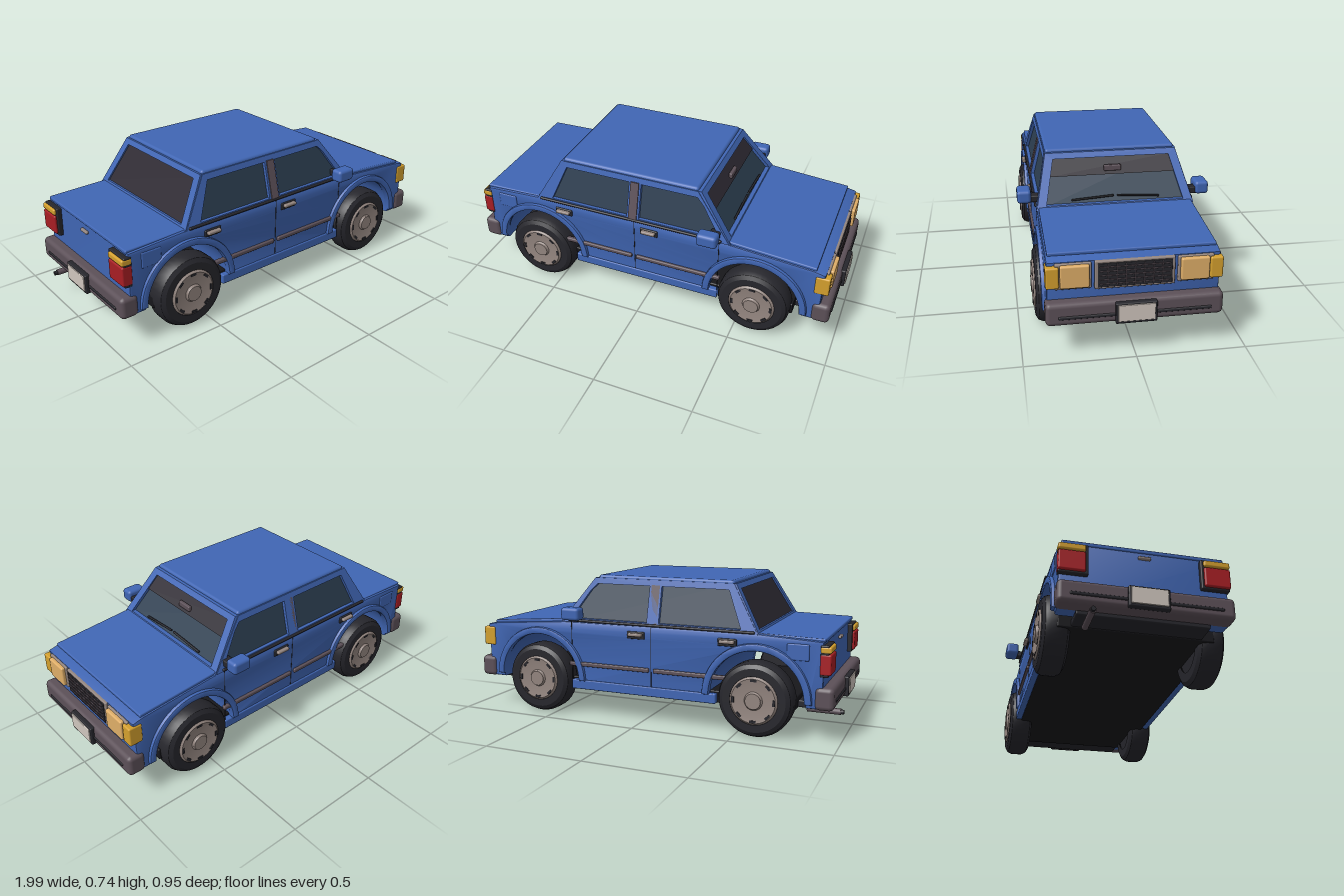
import * as THREE from 'three';
import { toCreasedNormals } from 'three/addons/utils/BufferGeometryUtils.js';
import { RoundedBoxGeometry } from 'three/addons/geometries/RoundedBoxGeometry.js';

const mat = (color) => new THREE.MeshStandardMaterial({ color, side: THREE.DoubleSide });
const M = {
  paint: mat(0x4066b4), glass: mat(0x2c3e50), tint: mat(0x2e2a33), rubber: mat(0x26262c),
  trim: mat(0x5c5058), metal: mat(0x93857f), lens: mat(0xdfae68), amber: mat(0xd4a02e),
  red: mat(0xa81e24), plate: mat(0xd0c6be), floor: mat(0x17171b),
};

export function createModel() {
  const car = new THREE.Group();
  car.name = 'car';

  const add = (name, geo, m, parent = car) => {
    const mesh = new THREE.Mesh(geo, m);
    mesh.name = name;
    parent.add(mesh);
    return mesh;
  };
  // rounded block given by its limits on each axis
  const block = (name, [x0, x1], [y0, y1], [z0, z1], m, r = 0.006) => {
    const s = [x1 - x0, y1 - y0, z1 - z0];
    const mesh = add(name, new RoundedBoxGeometry(...s, 2, Math.min(r, Math.min(...s) * 0.45)), m);
    mesh.position.set((x0 + x1) / 2, (y0 + y1) / 2, (z0 + z1) / 2);
    return mesh;
  };
  // block repeated on both sides of the car
  const pair = (name, x, y, [z0, z1], m, r) => {
    block(name + 'Left', x, y, [-z1, -z0], m, r);
    block(name + 'Right', x, y, [z0, z1], m, r);
  };
  const poly = (pts) => pts.map((p) => new THREE.Vector2(...p));
  const extrude = (shape, depth, bevel = 0) => toCreasedNormals(new THREE.ExtrudeGeometry(shape, {
    depth: depth - 2 * bevel, bevelEnabled: bevel > 0, bevelSize: bevel, bevelThickness: bevel,
    bevelOffset: -bevel, bevelSegments: 2, curveSegments: 28,
  }).translate(0, 0, bevel), 0.6);
  const moveVerts = (geo, rule) => {
    const p = geo.attributes.position, v = new THREE.Vector3();
    for (let i = 0; i < p.count; i++) {
      rule(v.fromBufferAttribute(p, i));
      p.setXYZ(i, v.x, v.y, v.z);
    }
    geo.computeVertexNormals();
    return geo;
  };

  // lower body with open wheel arches
  const axles = [-0.6, 0.59], hubY = 0.185, archR = 0.237;
  const body = new THREE.Shape();
  body.moveTo(-0.92, 0.165);
  for (const x of axles) {
    body.lineTo(x - archR, 0.165);
    body.absarc(x, hubY, archR, Math.PI, 0, true);
    body.lineTo(x + archR, 0.165);
  }
  for (const p of [[0.915, 0.165], [0.925, 0.45], [0.87, 0.462], [0.44, 0.495], [-0.6, 0.5], [-0.915, 0.485]]) body.lineTo(...p);
  add('body', extrude(body, 0.77, 0.012), M.paint).position.z = -0.385;
  block('floor', [-0.785, 0.785], [0.14, 0.2], [-0.36, 0.36], M.floor);
  pair('sill', [-0.4, 0.4], [0.14, 0.19], [0.36, 0.392], M.paint);
  const hood = block('hood', [0.43, 0.88], [0.474, 0.492], [-0.376, 0.376], M.paint);
  hood.rotation.z = -0.075;
  const trunk = block('trunkLid', [-0.92, -0.59], [0.48, 0.5], [-0.372, 0.372], M.paint);
  trunk.rotation.z = 0.02;

  // arch flares
  for (const x of axles) for (const s of [-1, 1]) {
    const ring = new THREE.Shape();
    ring.absarc(x, hubY, 0.27, 0, Math.PI, false);
    ring.absarc(x, hubY, archR - 0.003, Math.PI, 0, true);
    add('archFlare', extrude(ring, 0.04, 0.008), M.paint).position.z = s > 0 ? 0.362 : -0.402;
  }

  // cabin glass: a box tapered towards the roof
  const glass = new THREE.BoxGeometry(1, 1, 1).toNonIndexed();
  add('cabinGlass', moveVerts(glass, (v) => {
    const top = v.y > 0;
    v.x = v.x > 0 ? (top ? 0.265 : 0.435) : (top ? -0.46 : -0.59);
    v.z = Math.sign(v.z) * (top ? 0.313 : 0.371);
    v.y = top ? 0.72 : 0.49;
  }), M.glass);

  // side window frames, leaning inwards
  const sideFrame = new THREE.Shape(poly([[-0.605, 0.495], [0.45, 0.495], [0.265, 0.725], [-0.468, 0.725]]));
  const windows = [
    [[-0.52, 0.515], [-0.445, 0.695], [-0.095, 0.695], [-0.095, 0.515]],
    [[-0.03, 0.515], [-0.03, 0.695], [0.265, 0.695], [0.3, 0.66], [0.4, 0.515]],
  ];
  for (const w of windows) sideFrame.holes.push(new THREE.Path(poly(w)));
  for (const s of [-1, 1]) {
    const lean = (v) => { v.z += s * (0.375 - (v.y - 0.5) * 0.25) - 0.011; };
    add('sideWindowFrame', moveVerts(extrude(sideFrame, 0.022), lean), M.paint);
    const post = new THREE.Shape(poly([[-0.085, 0.51], [-0.04, 0.51], [-0.04, 0.7], [-0.085, 0.7]]));
    add('centrePost', moveVerts(extrude(post, 0.028), lean), M.trim);
  }

  // end panels in the slope of the windscreen (+1) or the rear window (-1)
  const endPanel = (name, shape, depth, dir, offset, m) => {
    const geo = extrude(shape, depth).rotateY(dir * Math.PI / 2);
    add(name, moveVerts(geo, (v) => {
      v.x += dir > 0 ? 0.437 - (v.y - 0.5) * 0.76 + offset : -0.592 + (v.y - 0.5) * 0.58 - offset;
    }), m);
  };
  const trapezoid = (zb, yb, zt, yt) => poly([[-zb, yb], [zb, yb], [zt, yt], [-zt, yt]]);
  for (const dir of [-1, 1]) {
    const frame = new THREE.Shape(trapezoid(0.385, 0.495, 0.327, 0.725));
    frame.holes.push(new THREE.Path(trapezoid(0.337, 0.512, 0.29, 0.7)));
    endPanel(dir > 0 ? 'windscreenFrame' : 'rearWindowFrame', frame, 0.022, dir, -0.006, M.paint);
    const tint = dir > 0 ? trapezoid(0.31, 0.625, 0.29, 0.7) : trapezoid(0.337, 0.512, 0.29, 0.7);
    endPanel('windowTint', new THREE.Shape(tint), 0.006, dir, 0, M.tint);
  }
  block('roof', [-0.468, 0.265], [0.703, 0.74], [-0.325, 0.325], M.paint, 0.014);
  block('cabinMirror', [0.325, 0.345], [0.64, 0.67], [-0.043, 0.043], M.trim);

  // wipers
  for (const z of [0.11, -0.115]) {
    const wiper = block('wiper', [0.416, 0.428], [0.53, 0.539], [z - 0.105, z + 0.105], M.rubber);
    wiper.rotation.x = z > 0 ? 0.07 : -0.07;
  }

  // side details
  pair('beltStrip', [-0.59, 0.41], [0.497, 0.51], [0.37, 0.394], M.rubber);
  pair('rearDoorTrim', [-0.46, -0.07], [0.264, 0.286], [0.375, 0.398], M.trim);
  pair('frontDoorTrim', [-0.045, 0.41], [0.264, 0.286], [0.375, 0.398], M.trim);
  for (const x of [-0.055, 0.398]) pair('doorSeam', [x - 0.002, x + 0.002], [0.19, 0.5], [0.38, 0.3865], M.rubber);
  for (const x of [-0.455, 0.027]) {
    pair('handleRecess', [x - 0.048, x + 0.048], [0.43, 0.468], [0.378, 0.392], M.rubber);
    pair('doorHandle', [x - 0.038, x + 0.038], [0.445, 0.462], [0.385, 0.41], M.metal);
  }
  pair('fuelFlap', [-0.85, -0.745], [0.39, 0.468], [0.375, 0.39], M.paint);
  pair('mirrorArm', [0.35, 0.4], [0.518, 0.552], [0.355, 0.42], M.rubber);
  pair('doorMirror', [0.307, 0.41], [0.515, 0.58], [0.407, 0.475], M.paint, 0.016);

  // bumpers, number plates and exhaust
  for (const s of [-1, 1]) {
    const span = (a, b) => (s > 0 ? [a, b] : [-b, -a]);
    block('bumper', span(0.88, 0.97), [0.163, 0.272], [-0.395, 0.395], M.trim, 0.022);
    block('bumperStrip', span(0.96, 0.975), [0.197, 0.213], [-0.34, 0.34], M.rubber);
    block('plateHolder', span(0.96, 0.988), [0.165, 0.265], [-0.092, 0.092], M.rubber);
    block('blankPlate', span(0.98, 0.993), [0.178, 0.258], [-0.082, 0.082], M.plate, 0.003);
    block('valance', span(0.785, 0.9), [0.145, 0.18], [-0.3, 0.3], M.rubber);
  }
  const pipe = add('exhaust', new THREE.CylinderGeometry(0.015, 0.015, 0.16, 16), M.trim);
  pipe.rotation.z = Math.PI / 2;
  pipe.position.set(-0.9, 0.129, -0.245);
  const tip = add('exhaustTip', new THREE.CylinderGeometry(0.011, 0.011, 0.02, 16), M.rubber);
  tip.rotation.z = Math.PI / 2;
  tip.position.set(-0.985, 0.129, -0.245);

  // grille and front lights
  block('grilleFrame', [0.91, 0.938], [0.316, 0.45], [-0.177, 0.177], M.metal);
  block('grille', [0.925, 0.942], [0.326, 0.44], [-0.164, 0.164], M.rubber, 0.003);
  for (let i = 0; i < 5; i++) {
    const y = 0.343 + i * 0.02;
    block('grilleSlat', [0.938, 0.947], [y - 0.002, y + 0.002], [-0.155, 0.155], M.trim);
  }
  for (let i = -3; i <= 3; i++) block('grilleBar', [0.938, 0.946], [0.33, 0.436], [i * 0.04 - 0.002, i * 0.04 + 0.002], M.trim);
  pair('headlightSurround', [0.905, 0.937], [0.324, 0.447], [0.19, 0.35], M.metal);
  pair('headlight', [0.925, 0.955], [0.336, 0.442], [0.2, 0.328], M.lens, 0.008);
  pair('indicator', [0.88, 0.95], [0.336, 0.436], [0.332, 0.39], M.amber, 0.008);

  // rear lights and boot catch
  pair('rearLightSurround', [-0.94, -0.9], [0.32, 0.47], [0.255, 0.388], M.rubber);
  pair('rearLight', [-0.952, -0.9], [0.33, 0.428], [0.268, 0.39], M.red, 0.008);
  pair('rearIndicator', [-0.952, -0.9], [0.432, 0.463], [0.268, 0.39], M.amber, 0.008);
  block('bootCatch', [-0.932, -0.915], [0.44, 0.455], [-0.03, 0.03], M.metal);

  // wheels: the lathe axis y points outwards after turning
  const tyreProfile = poly([[0.11, -0.062], [0.155, -0.062], [0.175, -0.05], [0.185, -0.028],
    [0.185, 0.028], [0.175, 0.05], [0.155, 0.062], [0.118, 0.062], [0.112, 0.05]]);
  const capProfile = poly([[0, 0.07], [0.04, 0.07], [0.045, 0.064], [0.085, 0.066], [0.108, 0.07], [0.118, 0.06], [0.118, 0.04]]);
  for (const x of axles) for (const s of [-1, 1]) {
    const wheel = new THREE.Group();
    wheel.name = 'wheel';
    add('tyre', toCreasedNormals(new THREE.LatheGeometry(tyreProfile, 40), 0.5), M.rubber, wheel);
    add('innerDisc', new THREE.CylinderGeometry(0.112, 0.112, 0.09, 32), M.rubber, wheel).position.y = -0.012;
    add('hubcap', toCreasedNormals(new THREE.LatheGeometry(capProfile, 40), 0.5), M.metal, wheel);
    add('hubCentre', new THREE.CylinderGeometry(0.038, 0.042, 0.012, 28), M.metal, wheel).position.y = 0.07;
    for (let i = 0; i < 8; i++) {
      const a = i * Math.PI / 4;
      const slot = add('hubcapSlot', new THREE.BoxGeometry(0.012, 0.008, 0.03), M.rubber, wheel);
      slot.position.set(Math.cos(a) * 0.1, 0.067, Math.sin(a) * 0.1);
      slot.rotation.y = -a;
    }
    wheel.rotation.x = s * Math.PI / 2;
    wheel.position.set(x, hubY, s * 0.358);
    car.add(wheel);
  }
  return car;
}
